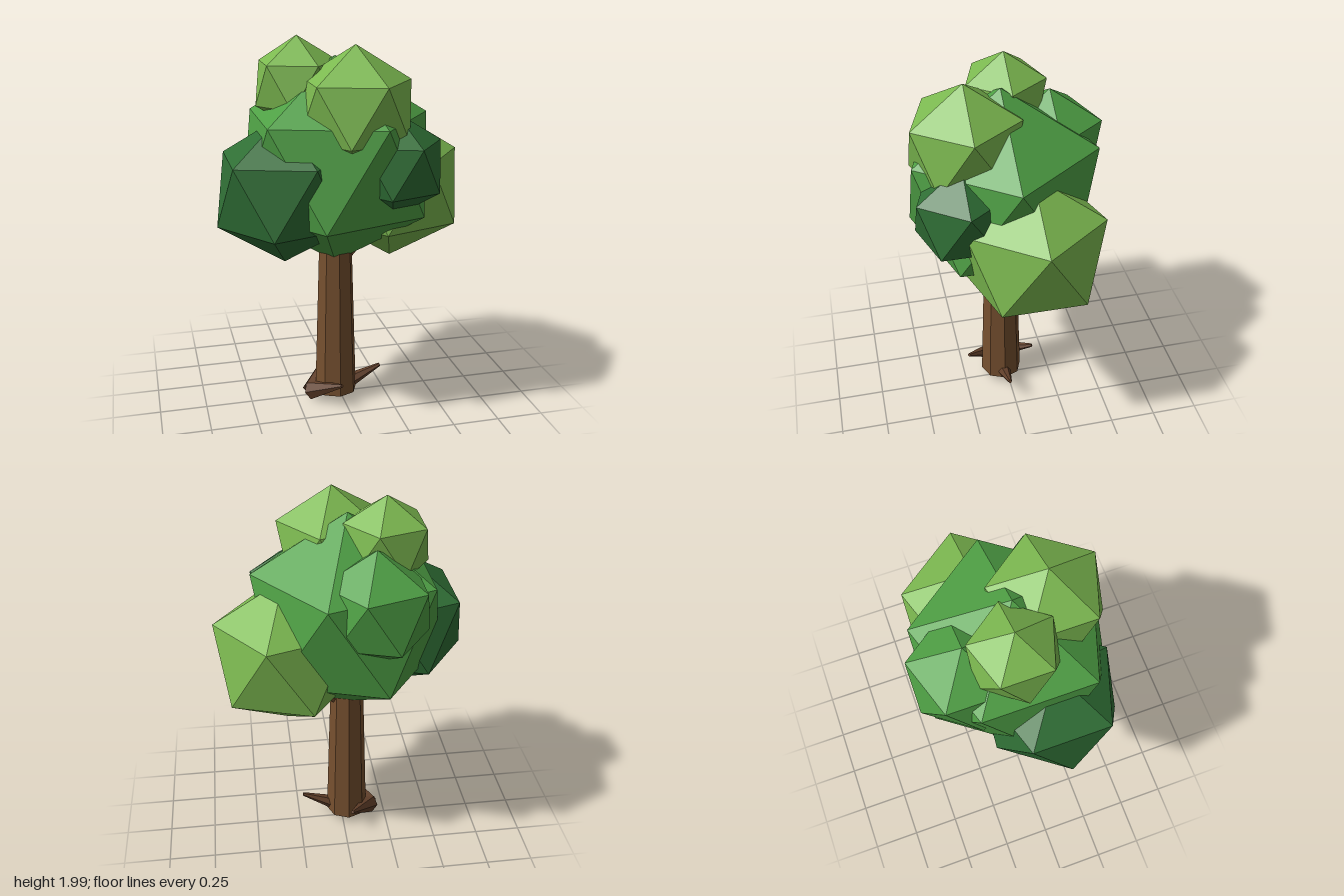
import * as THREE from 'three';

const material = (name, color) => {
  const m = new THREE.MeshStandardMaterial({ color, flatShading: true });
  m.name = name;
  return m;
};

// Twenty-sided ball standing on a point, with one upper corner towards +x
function leafBallGeometry(radius) {
  const corners = [0, 1, 0, 0, -1, 0];
  const faces = [];
  const h = Math.sqrt(0.2), ring = 2 * h;
  for (let k = 0; k < 5; k++) {
    const a = k * Math.PI * 0.4, b = a + Math.PI * 0.2;
    corners.push(ring * Math.cos(a), h, ring * Math.sin(a));
    corners.push(ring * Math.cos(b), -h, ring * Math.sin(b));
    const n = (k + 1) % 5;
    const u = 2 + 2 * k, l = u + 1, u2 = 2 + 2 * n, l2 = u2 + 1;
    faces.push(0, u2, u, u, u2, l, l, u2, l2, 1, l, l2);
  }
  return new THREE.PolyhedronGeometry(corners, faces, radius, 0);
}

// Tapered rod from one point to another
function taperedRod(name, mat, from, to, r0, r1, sides) {
  const a = new THREE.Vector3(...from), b = new THREE.Vector3(...to);
  const dir = b.clone().sub(a);
  const mesh = new THREE.Mesh(new THREE.CylinderGeometry(r1, r0, dir.length(), sides), mat);
  mesh.position.copy(a).add(b).multiplyScalar(0.5);
  mesh.quaternion.setFromUnitVectors(new THREE.Vector3(0, 1, 0), dir.normalize());
  mesh.name = name;
  return mesh;
}

export function createModel() {
  const tree = new THREE.Group();
  tree.name = 'tree';

  const bark = material('bark brown', 0x76502f);
  const rootBark = material('root brown', 0x62402a);
  const light = material('light green', 0x7cb950);
  const mid = material('mid green', 0x4fa045);
  const dark = material('dark green', 0x2f6e35);

  // Trunk and the side branch running into the right-hand foliage
  tree.add(taperedRod('trunk', bark, [-0.03, 0.055, 0.03], [-0.03, 1.1, 0.03], 0.116, 0.083, 8));
  tree.add(taperedRod('branch', bark, [0, 0.82, 0.02], [0.25, 1.05, -0.03], 0.04, 0.025, 6));

  // Roots: one to the side, two mirrored about the trunk
  const roots = new THREE.Group();
  roots.name = 'roots';
  roots.add(taperedRod('sideRoot', rootBark, [0, 0.065, 0.03], [0.225, 0.165, 0.03], 0.048, 0.01, 6));
  for (const s of [1, -1]) {
    roots.add(taperedRod(s > 0 ? 'frontRoot' : 'backRoot', rootBark,
      [-0.165, 0.055, 0.03], [-0.04, 0.16, 0.03 + s * 0.19], 0.055, 0.01, 6));
  }
  tree.add(roots);

  // Foliage: name, material, radius, centre
  const foliage = new THREE.Group();
  foliage.name = 'foliage';
  const balls = [
    ['mainFoliage', mid, 0.547, [-0.03, 1.355, 0.025]],
    ['backFoliage', mid, 0.3, [-0.135, 1.515, -0.247]],
    ['topFrontFoliage', light, 0.317, [0.027, 1.657, 0.215]],
    ['topFoliage', light, 0.24, [-0.214, 1.76, -0.03]],
    ['leftFoliage', light, 0.405, [0.298, 1.195, -0.06]],
    ['rightFoliage', dark, 0.38, [-0.322, 1.25, 0.13]],
    ['frontFoliage', dark, 0.27, [0.214, 1.38, 0.265]],
  ];
  for (const [name, mat, radius, centre] of balls) {
    const ball = new THREE.Mesh(leafBallGeometry(radius), mat);
    ball.position.set(...centre);
    ball.name = name;
    foliage.add(ball);
  }
  tree.add(foliage);

  return tree;
}
